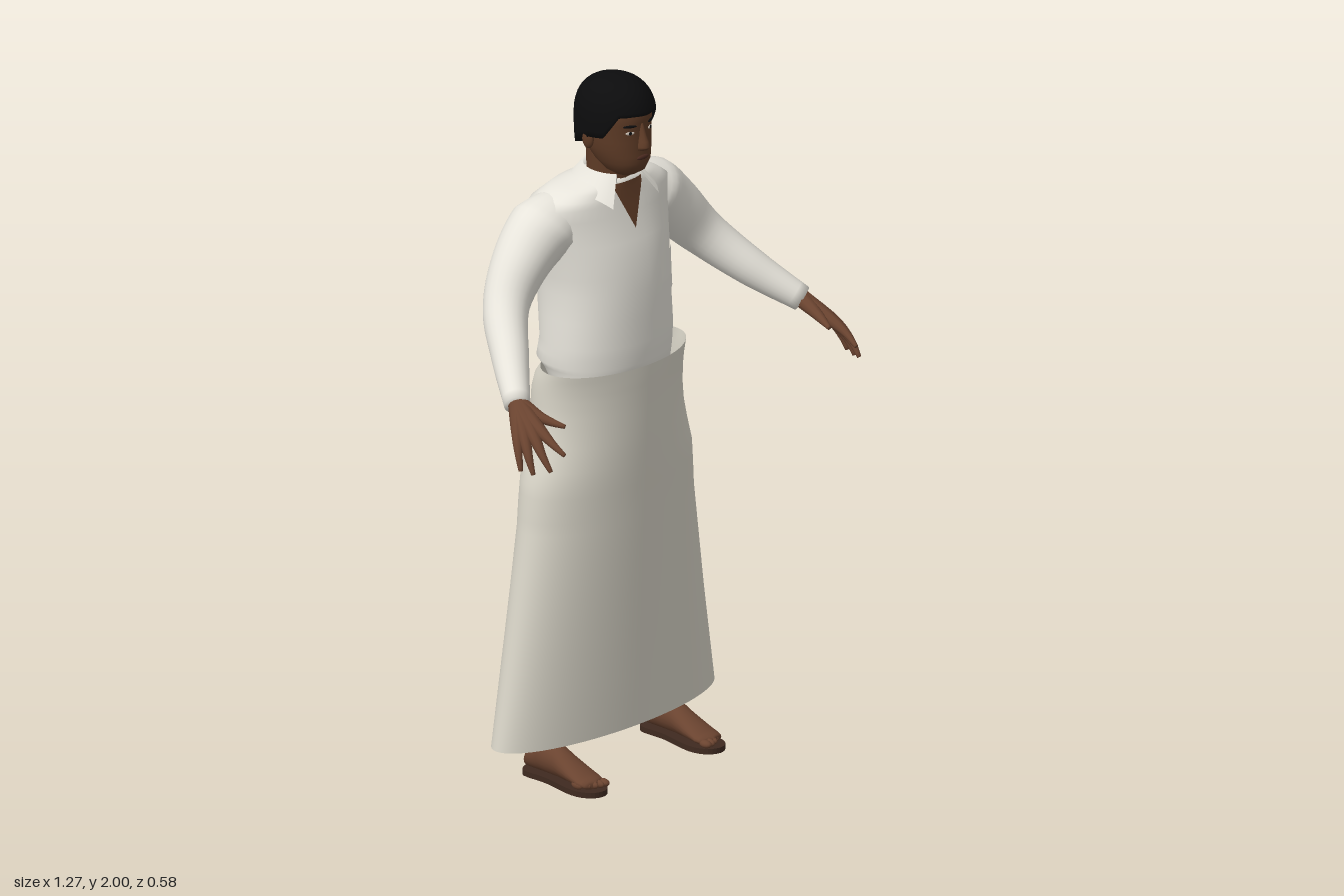
import * as THREE from 'three';

const mat = (name, color, double) => {
  const m = new THREE.MeshStandardMaterial({ color });
  m.name = name;
  if (double) m.side = THREE.DoubleSide;
  return m;
};

// Grid surface from f(u, v); "closed" joins the u ends so normals stay smooth.
function grid(f, nu, nv, closed = true) {
  const pos = [], idx = [], cols = closed ? nu : nu + 1;
  for (let j = 0; j <= nv; j++) for (let i = 0; i < cols; i++) pos.push(...f(i / nu, j / nv));
  for (let j = 0; j < nv; j++) for (let i = 0; i < nu; i++) {
    const a = j * cols + i, b = j * cols + (i + 1) % cols;
    idx.push(a, b, b + cols, a, b + cols, a + cols);
  }
  const g = new THREE.BufferGeometry();
  g.setAttribute('position', new THREE.Float32BufferAttribute(pos, 3));
  g.setIndex(idx);
  g.computeVertexNormals();
  return g;
}

// Linear lookup in a list of rows, t from 0 to 1.
function row(rows, t) {
  const s = t * (rows.length - 1), i = Math.min(Math.floor(s), rows.length - 2);
  return rows[i].map((a, k) => a + (rows[i + 1][k] - a) * (s - i));
}
const spow = (c, e) => Math.sign(c) * Math.abs(c) ** e;

// Upright loft; rows are [y, halfWidth, zFront, zBack].
function loft(rows, nu = 40, n = 2, cx = 0) {
  return grid((u, v) => {
    const [y, rx, zf, zb] = row(rows, v), a = u * Math.PI * 2;
    return [cx + rx * spow(Math.sin(a), 2 / n), y, (zf + zb) / 2 + (zf - zb) / 2 * spow(Math.cos(a), 2 / n)];
  }, nu, (rows.length - 1) * 2);
}

// Front depth of a loft at x, y.
function frontZ(rows, x, y, n) {
  let i = 0;
  while (i < rows.length - 2 && rows[i + 1][0] < y) i++;
  const t = (y - rows[i][0]) / (rows[i + 1][0] - rows[i][0]);
  const [, rx, zf, zb] = rows[i].map((a, k) => a + (rows[i + 1][k] - a) * t);
  return (zf + zb) / 2 + (zf - zb) / 2 * (1 - Math.min(1, Math.abs(x / rx)) ** n) ** (1 / n);
}

// Tapered round limb along points [x, y, z, radius], with closed ends.
function limb(pts, nu = 16, nv = 20) {
  const curve = new THREE.CatmullRomCurve3(pts.map(p => new THREE.Vector3(p[0], p[1], p[2])));
  const fr = curve.computeFrenetFrames(nv);
  const radii = pts.map(p => [p[3]]);
  return grid((u, v) => {
    const k = Math.round(v * (nv + 2)) - 1, j = Math.min(nv, Math.max(0, k));
    const r = k !== j ? 0 : row(radii, j / nv)[0], a = u * Math.PI * 2;
    return curve.getPoint(j / nv).addScaledVector(fr.normals[j], r * Math.cos(a))
      .addScaledVector(fr.binormals[j], r * Math.sin(a)).toArray();
  }, nu, nv + 2);
}

const TORSO = [[1.1, .18, .02, -.2], [1.165, .192, .034, -.243], [1.19, .2, .038, -.272], [1.25, .2, .04, -.258],
  [1.4, .195, .035, -.275], [1.5, .208, .02, -.285], [1.58, .225, -.003, -.288], [1.65, .232, -.02, -.262],
  [1.685, .17, -.027, -.228], [1.705, .1, -.03, -.19], [1.72, .05, -.05, -.16]];
const HEAD = [[1.725, 0, -.02, -.05], [1.728, .032, -.002, -.07], [1.742, .052, .02, -.1], [1.77, .07, .032, -.13],
  [1.81, .084, .03, -.16], [1.86, .09, .027, -.175], [1.91, .092, .03, -.18], [1.95, .083, .01, -.17], [1.98, .04, -.03, -.12]];
const SKIRT = [[.122, .41, .01, -.255], [.43, .357, .022, -.258], [.73, .308, .035, -.26], [.8, .302, .038, -.261],
  [.87, .294, .042, -.262], [.95, .268, .046, -.263], [1, .254, .048, -.264], [1.06, .246, .05, -.265],
  [1.11, .245, .052, -.264], [1.15, .245, .054, -.25], [1.187, .245, .055, -.22]];

export function createModel() {
  const M = {
    shirt: mat('shirt cloth', 0xeae7de, true), skirt: mat('wrap cloth', 0xd9d5c8, true),
    skin: mat('limb skin', 0x6b4430), face: mat('face skin', 0x5e3b26, true), hair: mat('black hair', 0x0c0c0d),
    sole: mat('sandal sole', 0x3f2a20), eye: mat('eye white', 0xc9beb2), lips: mat('lips', 0x4b2a20),
  };
  const root = new THREE.Group();
  const add = (name, geo, m, parent = root) => {
    const mesh = new THREE.Mesh(geo, m);
    mesh.name = name;
    parent.add(mesh);
    return mesh;
  };
  const ball = (name, m, p, s, ry = 0) => {
    const b = add(name, new THREE.SphereGeometry(1, 16, 12), m);
    b.position.set(...p);
    b.scale.set(...s);
    b.rotation.y = ry;
    return b;
  };

  // Clothing
  add('wrapSkirt', loft(SKIRT, 64), M.skirt);
  add('shirtBody', loft(TORSO, 48, 2.2), M.shirt);
  const patch = (lift, edges) => grid((u, v) => {
    const [x0, x1, y] = edges(v), x = x0 + (x1 - x0) * u;
    return [x, y, frontZ(TORSO, x, y, 2.2) + lift];
  }, 8, 10, false);
  add('openNeckSkin', patch(.005, v => [-.058 * v, .058 * v, 1.572 + .13 * v]), M.face);
  add('chestPocket', patch(.005, v => [.075, .165, 1.36 + .11 * v]), M.shirt);
  add('collar', grid((u, v) => {
    const k = Math.round(v * 2), c = Math.abs(2 * u - 1); // c is 1 at the front tips
    const start = [.55, .6, .78][k], a = start + u * (Math.PI * 2 - 2 * start);
    const r = [.066, .07, .105 + .02 * c][k];
    const y = [1.69, 1.742 - .012 * c, 1.69 - .04 * c ** 5][k];
    return [r * Math.sin(a), y, -.095 + r * 1.12 * Math.cos(a)];
  }, 32, 2, false), M.shirt);

  // Head and neck
  add('neck', loft([[1.6, .06, -.04, -.16], [1.7, .06, -.035, -.16], [1.8, .062, -.03, -.165]], 24), M.face);
  add('head', loft(HEAD, 40, 2.15), M.face);
  add('nose', loft([[1.803, .004, .03, .01], [1.81, .017, .045, .01], [1.82, .018, .056, .01],
    [1.85, .01, .042, .01], [1.885, .006, .03, .01]], 12), M.face);
  const BOTTOM = [[1.912], [1.914], [1.912], [1.85], [1.845], [1.825], [1.8], [1.795], [1.795]];
  add('hair', grid((u, v) => {
    const a = u * Math.PI * 2, lip = v === 0;
    const yb = row(BOTTOM, 1 - Math.abs(2 * u - 1))[0];
    const t = lip ? 0 : (v * 15 - 1) / 14, y = yb + (2 - yb) * Math.sin(t * Math.PI / 2);
    const h = y > 1.88 ? (y - 1.88) / .12 : (1.88 - y) / .24;
    const r = Math.max(0, 1 - h ** 2.4) ** (1 / 2.4) * (lip ? .8 : 1);
    return [.103 * r * Math.sin(a), y, -.075 + .122 * r * Math.cos(a)];
  }, 48, 15), M.hair);
  ball('mouth', M.lips, [0, 1.786, .03], [.022, .007, .006]);
  for (const s of [1, -1]) {
    const z = frontZ(HEAD, .038, 1.862, 2.15);
    ball('eye', M.eye, [s * .038, 1.862, z], [.013, .005, .003], s * .45);
    ball('pupil', M.hair, [s * .038, 1.862, z + .001], [.005, .005, .004], s * .45);
    ball('eyebrow', M.hair, [s * .04, 1.882, z + .001], [.02, .004, .004], s * .5);
    ball('ear', M.face, [s * .092, 1.835, -.088], [.011, .03, .02]);
  }

  // Arms, hands, legs and sandals
  const WRIST = [.545, 1.24, .09, .026];
  const FINGERS = {
    thumb: [[.534, 1.215, .165, .016], [.522, 1.206, .205, .011], [.51, 1.2, .237, .006]],
    indexFinger: [[.565, 1.192, .2, .017], [.568, 1.168, .248, .011], [.563, 1.145, .288, .006]],
    middleFinger: [[.585, 1.178, .195, .017], [.596, 1.137, .238, .011], [.595, 1.1, .268, .006]],
    ringFinger: [[.6, 1.168, .175, .016], [.616, 1.125, .206, .011], [.62, 1.087, .226, .006]],
    littleFinger: [[.607, 1.17, .152, .015], [.624, 1.125, .175, .01], [.63, 1.09, .188, .006]],
  };
  const FOOT = [[-.186, 0, .03], [-.182, .018, .04], [-.165, .031, .07], [-.12, .034, .095], [-.06, .036, .088],
    [0, .041, .056], [.045, .044, .034], [.068, .038, .026], [.078, 0, .02]];
  const sole = new THREE.Shape(new THREE.SplineCurve([[0, -.19], [.037, -.165], [.034, -.08], [.048, .02], [.043, .075],
    [.01, .1], [-.03, .085], [-.05, .03], [-.036, -.08], [-.037, -.165], [0, -.19]]
    .map(p => new THREE.Vector2(p[0], -p[1]))).getPoints(40));

  for (const s of [1, -1]) {
    const side = s > 0 ? 'left' : 'right';
    const flip = pts => pts.map(([x, ...r]) => [s * x, ...r]);
    add(side + 'Sleeve', limb(flip([[.12, 1.598, -.15, .08], [.2, 1.583, -.15, .098], [.29, 1.515, -.145, .082],
      [.385, 1.412, -.11, .064], [.47, 1.315, -.01, .051], [.55, 1.235, .095, .036]]), 24, 30), M.shirt);

    const hand = new THREE.Group();
    hand.name = side + 'Hand';
    root.add(hand);
    for (const [name, pts] of Object.entries(FINGERS)) add(name, limb(flip([WRIST, ...pts]), 10, 12), M.skin, hand);

    const cx = s * .227;
    add(side + 'Leg', loft([[.05, .03, -.08, -.175], [.1, .031, -.078, -.175], [.16, .033, -.075, -.175],
      [.35, .05, -.06, -.185], [.6, .055, -.05, -.18]], 20, 2, cx), M.skin);
    const foot = new THREE.Group();
    foot.name = side + 'Foot';
    root.add(foot);
    add('footBody', grid((u, v) => {
      const [z, w, h] = row(FOOT, v), a = u * Math.PI * 2;
      return [cx - w * Math.sin(a), .017 + h / 2 + h / 2 * Math.cos(a), z];
    }, 20, 16), M.skin, foot);
    for (let i = 0; i < 5; i++) {
      const toe = ball('toe', M.skin, [cx + s * (-.03 + i * .0165), .028, .075 - i * i * .0022],
        [i ? .009 : .013, .011, .02]);
      foot.add(toe);
    }
    const base = add('sandalSole', new THREE.ExtrudeGeometry(sole, { depth: .016, bevelEnabled: false }), M.sole, foot);
    base.rotation.x = -Math.PI / 2;
    base.position.x = cx;
  }
  return root;
}
